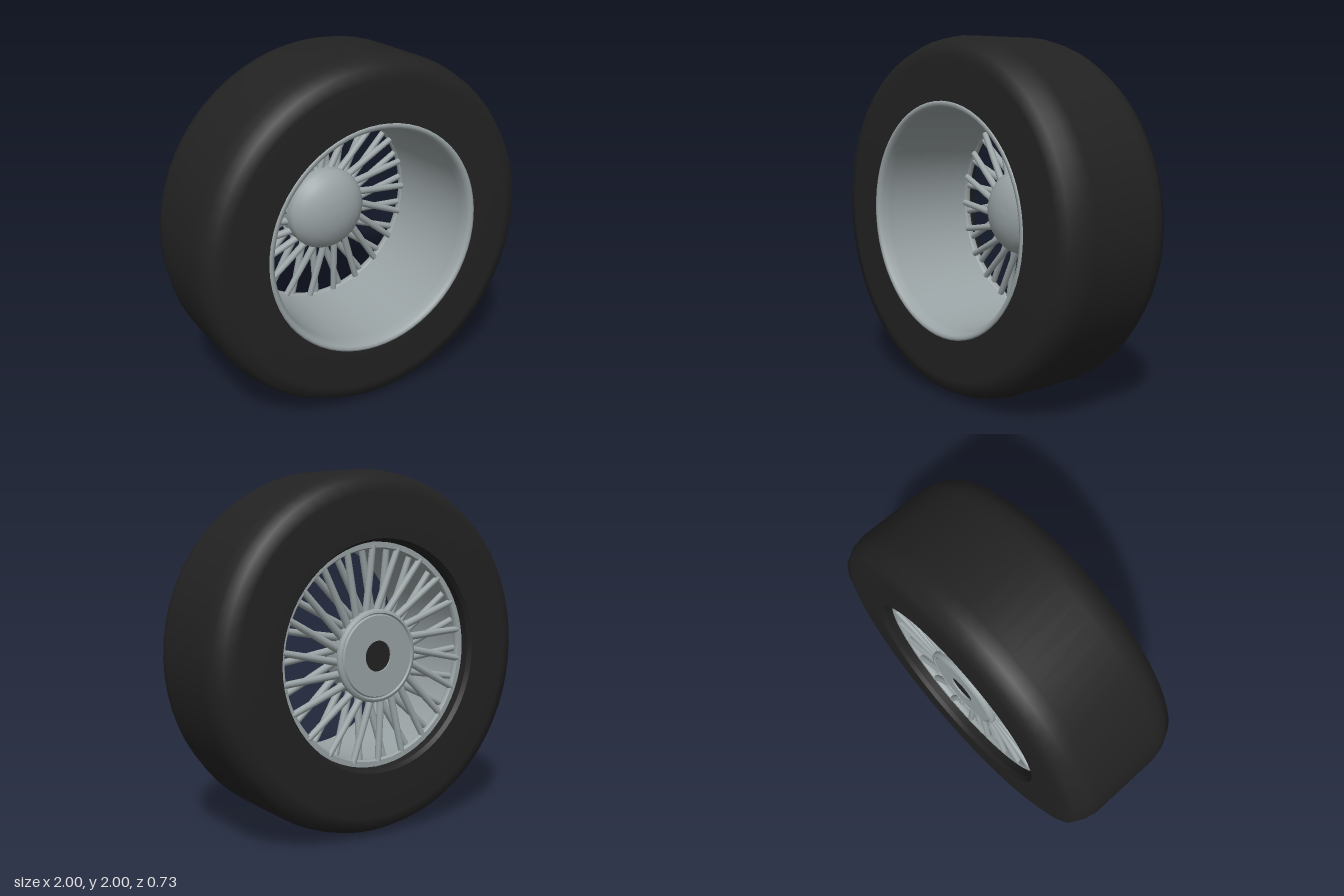
import * as THREE from 'three';

const rubber = new THREE.MeshStandardMaterial({ name: 'black rubber', color: 0x222222 });
const metal = new THREE.MeshStandardMaterial({ name: 'grey metal', color: 0x9aa3a5 });

// Revolve a [radius, z] profile round the axle; a repeated point makes a crease.
function turned(name, material, profile, segments = 64) {
  const points = profile.map(([r, z]) => new THREE.Vector2(r, z));
  const mesh = new THREE.Mesh(new THREE.LatheGeometry(points, segments).rotateX(Math.PI / 2), material);
  mesh.name = name;
  return mesh;
}

// Straight rod between two points.
function rod(name, a, b, radiusA, radiusB) {
  const dir = b.clone().sub(a);
  const mesh = new THREE.Mesh(new THREE.CylinderGeometry(radiusB, radiusA, dir.length(), 10), metal);
  mesh.position.copy(a).add(b).multiplyScalar(0.5);
  mesh.quaternion.setFromUnitVectors(new THREE.Vector3(0, 1, 0), dir.normalize());
  mesh.name = name;
  return mesh;
}

export function createModel() {
  const wheel = new THREE.Group();
  wheel.name = 'wheel';
  wheel.position.y = 1;

  // Tyre with rounded shoulders and flat sidewalls
  wheel.add(turned('tyre', rubber, [
    [0.62, -0.34], [0.635, -0.365], [0.635, -0.365], [0.88, -0.365], [0.95, -0.345], [0.985, -0.28], [1, -0.21],
    [1, 0.21], [0.985, 0.28], [0.95, 0.345], [0.88, 0.362], [0.635, 0.362], [0.635, 0.362], [0.62, 0.34],
    [0.62, 0.34], [0.62, -0.34],
  ]));

  // Rim: rolled front lip and tapering barrel
  wheel.add(turned('rim', metal, [
    [0.585, -0.3], [0.615, -0.3], [0.615, -0.3], [0.622, 0.3], [0.655, 0.345], [0.652, 0.364], [0.64, 0.368],
    [0.625, 0.362], [0.614, 0.34], [0.61, 0.3], [0.61, 0.3], [0.585, -0.26], [0.585, -0.26],
    [0.578, -0.27], [0.578, -0.29], [0.585, -0.3],
  ]));

  // Hub: domed front, stepped flat back with an axle bore
  wheel.add(turned('hub', metal, [
    [0.085, -0.3], [0.085, -0.315], [0.085, -0.315], [0.222, -0.315], [0.222, -0.315], [0.226, -0.305],
    [0.232, -0.305], [0.236, -0.315], [0.236, -0.315], [0.25, -0.312], [0.255, -0.3], [0.255, -0.3],
    [0.255, -0.285], [0.255, -0.285], [0.245, -0.28], [0.245, -0.28], [0.245, -0.19], [0.235, -0.165], [0.205, -0.13],
    [0.16, -0.1], [0.1, -0.08], [0.05, -0.072], [0, -0.07],
  ], 48));
  const bore = new THREE.Mesh(new THREE.CircleGeometry(0.086, 32).rotateY(Math.PI), rubber);
  bore.name = 'axleBore';
  bore.position.z = -0.305;
  wheel.add(bore);

  // Crossed spoke pairs
  const pairs = 22;
  const spokes = new THREE.Group();
  spokes.name = 'spokes';
  for (let i = 0; i < pairs; i++) {
    const pair = new THREE.Group();
    pair.name = 'spokePair';
    pair.rotation.z = -0.085 + (i / pairs) * Math.PI * 2;
    for (const side of [-1, 1]) {
      pair.add(rod('spoke',
        new THREE.Vector3(-side * 0.034, 0.22, -0.25 + side * 0.018),
        new THREE.Vector3(side * 0.03, 0.596, -0.275 + side * 0.012), 0.022, 0.018));
    }
    spokes.add(pair);
  }
  wheel.add(spokes);

  const model = new THREE.Group();
  model.name = 'wireWheel';
  model.add(wheel);
  return model;
}
